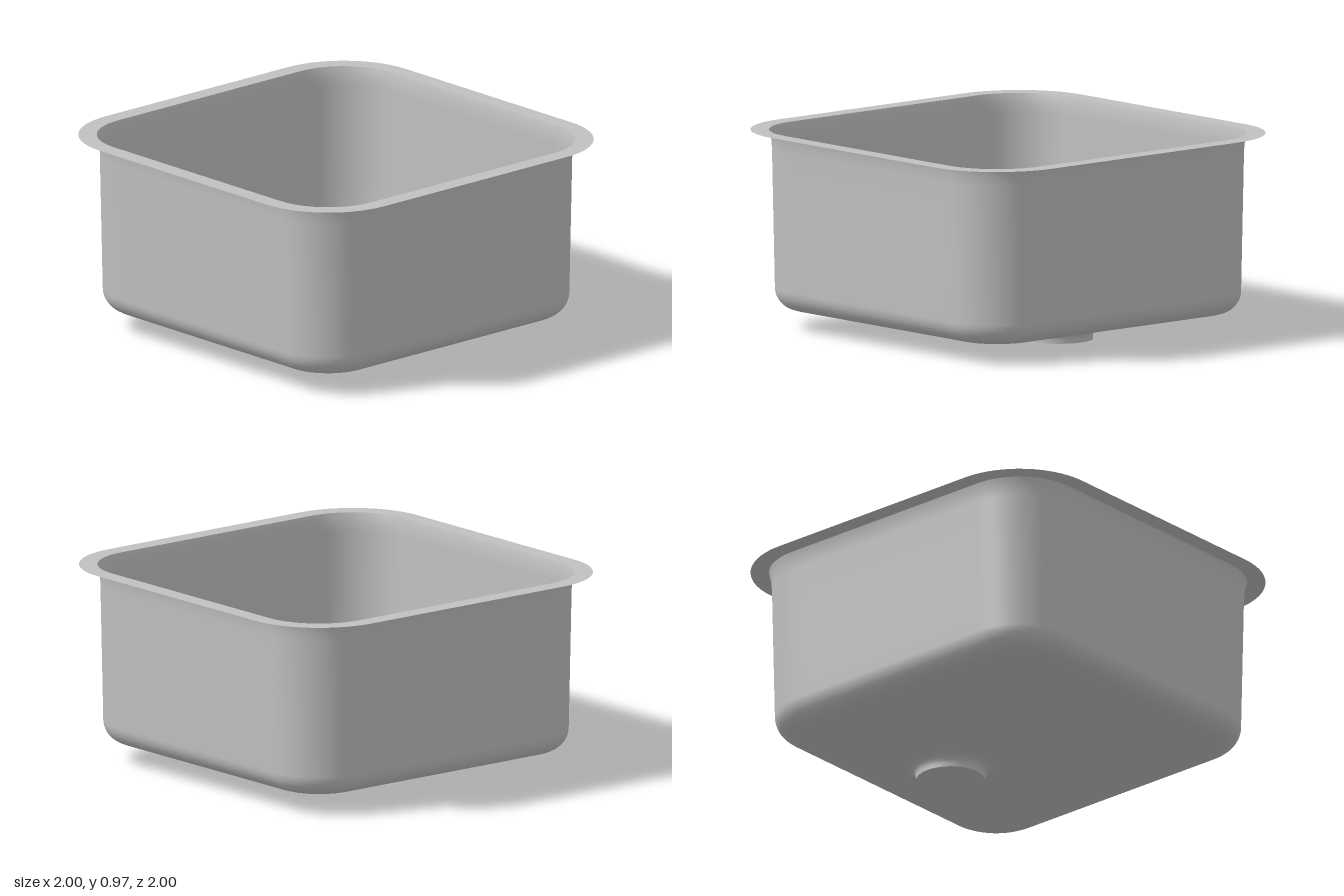
import * as THREE from 'three';

const DRAIN_Z = -0.37;
const CORNER = 0.6; // every corner arc shares this centre

// Rounded square loop reaching out to the given half width
function squareLoop(half, y) {
  const r = half - CORNER, pts = [], arc = 14, edge = 20;
  for (let q = 0; q < 4; q++) {
    const base = q * Math.PI / 2;
    const cx = CORNER * Math.SQRT2 * Math.cos(base + Math.PI / 4);
    const cz = CORNER * Math.SQRT2 * Math.sin(base + Math.PI / 4);
    for (let i = 0; i <= arc; i++) {
      const a = base + (i / arc) * Math.PI / 2;
      pts.push(new THREE.Vector3(cx + r * Math.cos(a), y, cz + r * Math.sin(a)));
    }
    // straight run to the next corner
    const end = pts[pts.length - 1], a = base + Math.PI / 2;
    for (let i = 1; i < edge; i++) {
      const d = 2 * CORNER * i / edge;
      pts.push(new THREE.Vector3(end.x - Math.sin(a) * d, y, end.z + Math.cos(a) * d));
    }
  }
  return pts;
}

// Skin between successive closed loops, ordered from outside to inside
function loft(loops) {
  const n = loops[0].length, index = [];
  for (let j = 0; j < loops.length - 1; j++) {
    for (let i = 0; i < n; i++) {
      const a = j * n + i, b = j * n + (i + 1) % n, c = a + n, d = b + n;
      index.push(a, c, b, b, c, d);
    }
  }
  const geo = new THREE.BufferGeometry().setFromPoints(loops.flat());
  geo.setIndex(index);
  geo.computeVertexNormals();
  return geo;
}

export function createModel() {
  const steel = new THREE.MeshStandardMaterial({ color: 0xc0c0c0, side: THREE.DoubleSide });
  steel.name = 'steel';
  const group = new THREE.Group();
  group.name = 'sink';
  const add = (name, geo, parent = group) => {
    const mesh = new THREE.Mesh(geo, steel);
    mesh.name = name;
    parent.add(mesh);
    return mesh;
  };

  // Flat mounting rim
  const top = 0.972;
  add('rim', loft([squareLoop(1, top), squareLoop(0.91, top)]));

  // Tapered walls with a flared lip and a rounded foot
  const loops = [[0.91, top], [0.904, 0.95], [0.899, 0.92], [0.896, 0.88], [0.889, 0.54], [0.882, 0.2]]
    .map(([half, y]) => squareLoop(half, y));
  for (let i = 1; i <= 8; i++) {
    const a = (i / 8) * Math.PI / 2;
    loops.push(squareLoop(0.777 + 0.105 * Math.cos(a), 0.2 - 0.106 * Math.sin(a)));
  }

  // Floor falling gently to the drain circle
  const foot = loops[loops.length - 1];
  const mouth = foot.map(p => {
    const a = Math.atan2(p.z - DRAIN_Z, p.x);
    return new THREE.Vector3(0.26 * Math.cos(a), 0.069, DRAIN_Z + 0.26 * Math.sin(a));
  });
  for (let k = 1; k <= 5; k++) loops.push(foot.map((p, i) => p.clone().lerp(mouth[i], k / 5)));
  add('bowl', loft(loops));

  // Drain cup, closed underneath
  const drain = new THREE.Group();
  drain.name = 'drain';
  drain.position.z = DRAIN_Z;
  group.add(drain);
  const cup = [[0.167, 0], [0.167, 0.02], [0.17, 0.034], [0.178, 0.046], [0.192, 0.057],
    [0.215, 0.064], [0.262, 0.069]].map(([r, y]) => new THREE.Vector2(r, y));
  add('drainCup', new THREE.LatheGeometry(cup, 64), drain);
  add('drainBase', new THREE.CircleGeometry(0.167, 64).rotateX(Math.PI / 2), drain);

  // Strainer plate with two rings of holes
  const plate = new THREE.Shape().absarc(0, 0, 0.165, 0, Math.PI * 2);
  const ring = (count, radius, hole) => {
    for (let i = 0; i < count; i++) {
      const a = (i / count) * Math.PI * 2;
      plate.holes.push(new THREE.Path().absarc(radius * Math.cos(a), radius * Math.sin(a), hole, 0, Math.PI * 2, true));
    }
  };
  ring(18, 0.118, 0.013);
  ring(12, 0.08, 0.011);
  const strainer = new THREE.ExtrudeGeometry(plate, { depth: 0.006, bevelEnabled: false, curveSegments: 24 });
  add('strainer', strainer.rotateX(-Math.PI / 2), drain).position.y = 0.004;
  add('strainerKnob', new THREE.CylinderGeometry(0.03, 0.03, 0.006, 32), drain).position.y = 0.013;

  return group;
}
